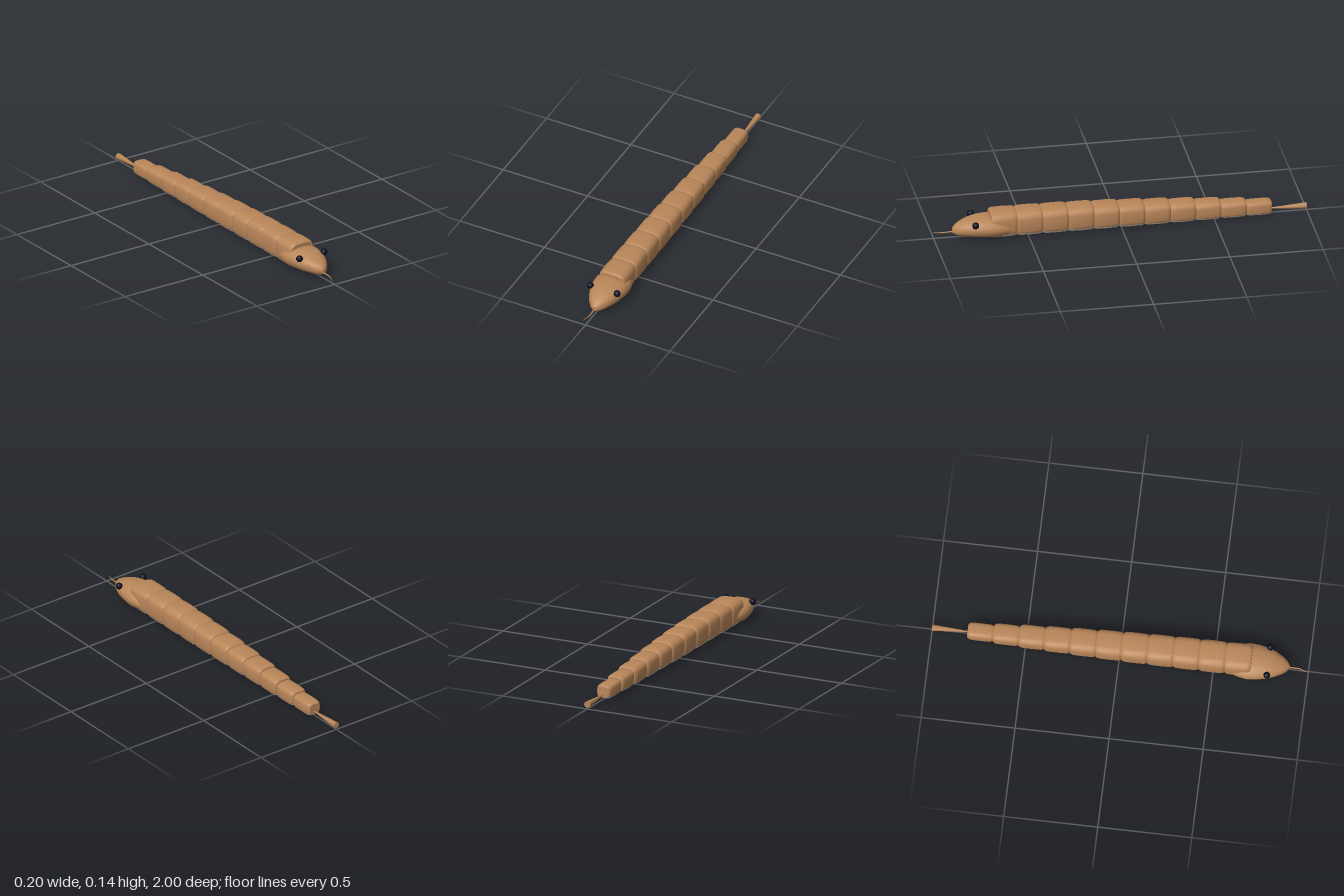
import * as THREE from 'three';

const skin = new THREE.MeshStandardMaterial({ name: 'tan skin', color: 0xb98659 });
const cream = new THREE.MeshStandardMaterial({ name: 'pale belly', color: 0xcfc8bc });
const dark = new THREE.MeshStandardMaterial({ name: 'dark eye', color: 0x0b0b1f });

// Loft through rounded rings [z, halfWidth, bottom, top], ordered back to front.
// Faces below the belly angle go to a second material group.
function loft(rings, power, sides, hasBelly) {
  const pos = [], skinFaces = [], bellyFaces = [];
  const soft = (v) => Math.sign(v) * Math.abs(v) ** (2 / power);
  const addRing = ([z, w, y0, y1]) => {
    const start = pos.length / 3;
    for (let j = 0; j < sides; j++) {
      const a = (j / sides) * Math.PI * 2;
      pos.push(w * soft(Math.cos(a)), (y0 + y1) / 2 + ((y1 - y0) / 2) * soft(Math.sin(a)), z);
    }
    return start;
  };
  const starts = rings.map(addRing);
  for (let i = 0; i < rings.length - 1; i++) {
    for (let j = 0; j < sides; j++) {
      const k = (j + 1) % sides;
      const a = starts[i] + j, b = starts[i] + k, c = starts[i + 1] + j, d = starts[i + 1] + k;
      const low = hasBelly && Math.sin(((j + 0.5) / sides) * Math.PI * 2) < -0.5;
      (low ? bellyFaces : skinFaces).push(a, b, c, b, d, c);
    }
  }
  // flat end caps with their own corners
  const back = addRing(rings[0]), front = addRing(rings[rings.length - 1]);
  for (let j = 1; j < sides - 1; j++) {
    skinFaces.push(back, back + j + 1, back + j, front, front + j, front + j + 1);
  }
  const geo = new THREE.BufferGeometry();
  geo.setAttribute('position', new THREE.Float32BufferAttribute(pos, 3));
  geo.setIndex([...skinFaces, ...bellyFaces]);
  geo.addGroup(0, skinFaces.length, 0);
  if (hasBelly) geo.addGroup(skinFaces.length, bellyFaces.length, 1);
  geo.computeVertexNormals();
  return geo;
}

export function createModel() {
  const model = new THREE.Group();
  const add = (name, geo, mat, x = 0, y = 0, z = 0) => {
    const mesh = new THREE.Mesh(geo, mat);
    mesh.name = name;
    mesh.position.set(x, y, z);
    model.add(mesh);
    return mesh;
  };

  // body: eleven overlapping rounded segments shrinking toward the tail
  const widths = [0.08, 0.08, 0.079, 0.078, 0.076, 0.073, 0.069, 0.064, 0.059, 0.052, 0.044];
  const tops = [0.142, 0.142, 0.141, 0.138, 0.134, 0.128, 0.121, 0.113, 0.103, 0.092, 0.08];
  const pitch = 0.137;
  widths.forEach((w, i) => {
    const front = 0.7 - i * pitch, back = front - pitch - 0.004, top = tops[i];
    const ring = (z, inset) => [z, w - inset, 0.002 + inset * 0.8, top - inset * 0.8];
    add('bodySegment' + (i + 1), loft([
      ring(back, 0.012), ring(back + 0.006, 0.005), ring(back + 0.02, 0.001),
      ring(back + pitch * 0.5, 0), ring(front - 0.02, 0.001),
      ring(front - 0.006, 0.005), ring(front, 0.012),
    ], 3.5, 24, true), [skin, cream]);
  });

  // head: flattened wedge, widest at the jaw
  add('head', loft([
    [0.55, 0.066, 0.02, 0.075],
    [0.6, 0.079, 0.012, 0.09],
    [0.64, 0.092, 0.006, 0.104],
    [0.68, 0.1, 0.004, 0.112],
    [0.73, 0.096, 0.005, 0.113],
    [0.78, 0.086, 0.008, 0.109],
    [0.82, 0.071, 0.011, 0.1],
    [0.86, 0.05, 0.014, 0.085],
    [0.885, 0.03, 0.018, 0.071],
    [0.9, 0.01, 0.027, 0.055],
  ], 2.25, 20, false), skin);

  // eyes
  for (const side of [1, -1]) {
    add(side > 0 ? 'leftEye' : 'rightEye', new THREE.SphereGeometry(0.0185, 10, 8), dark, side * 0.079, 0.094, 0.788);
  }

  // tongue: thin root and a tip bending aside
  const tongue = (name, from, to, r0, r1) => {
    const a = new THREE.Vector3(...from), b = new THREE.Vector3(...to);
    const mesh = add(name, new THREE.CylinderGeometry(r1, r0, a.distanceTo(b), 6), skin);
    mesh.position.copy(a).lerp(b, 0.5);
    mesh.quaternion.setFromUnitVectors(new THREE.Vector3(0, 1, 0), b.sub(a).normalize());
  };
  tongue('tongueRoot', [0, 0.034, 0.88], [0, 0.031, 0.955], 0.005, 0.0035);
  tongue('tongueTip', [0, 0.031, 0.953], [-0.015, 0.027, 1], 0.0035, 0.001);

  // tail rattle: narrow cone widening to the rear
  const tail = add('tail', new THREE.CylinderGeometry(0.003, 0.018, 0.2, 8), skin, 0, 0.026, -0.9);
  tail.rotation.x = Math.PI / 2;

  return model;
}
